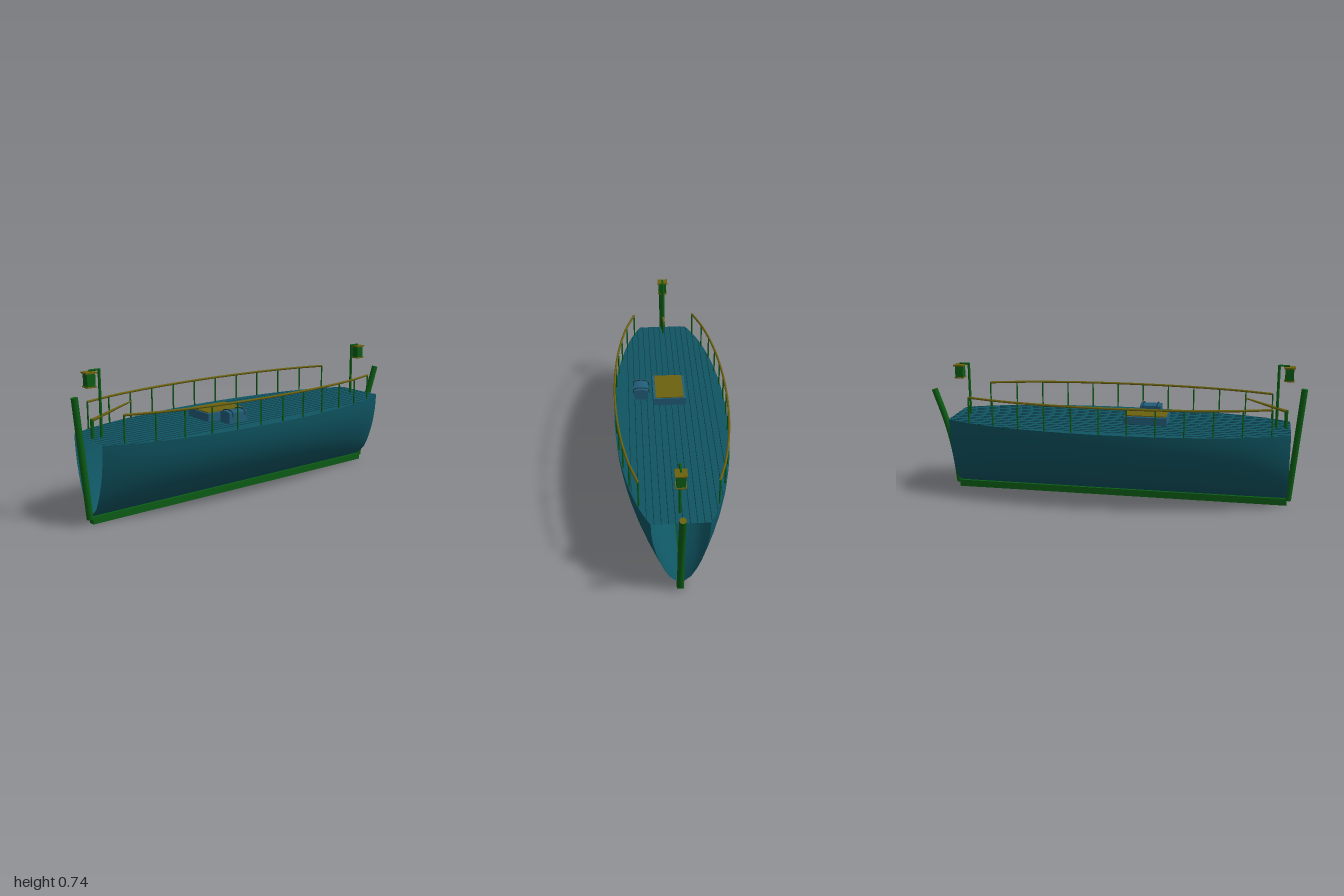
import * as THREE from 'three';

const X0 = -0.925, X1 = 0.85, DECK = 0.413, BASE = 0.035;
const CX = (X0 + X1) / 2, HALF = (X1 - X0) / 2;

const mat = (color) => new THREE.MeshStandardMaterial({ color, side: THREE.DoubleSide });
const teal = mat(0x0f5562), seam = mat(0x0a3540), blue = mat(0x215c78);
const green = mat(0x0b5c14), olive = mat(0x6b6210), iron = mat(0x1d3d48);

// Half width of the deck at x: an ellipse cut off at both ends
const halfWidth = (x) => 0.295 * Math.sqrt(1 - 0.79 * ((x - CX) / HALF) ** 2);

function add(parent, name, geometry, material, x = 0, y = 0, z = 0) {
  const m = new THREE.Mesh(geometry, material);
  m.name = name;
  m.position.set(x, y, z);
  parent.add(m);
  return m;
}
const box = (w, h, d) => new THREE.BoxGeometry(w, h, d);
const vec = (p) => new THREE.Vector3(...p);

// Round bar between two points
function bar(parent, name, a, b, r0, r1, material, sides = 8) {
  const A = vec(a), B = vec(b), d = B.clone().sub(A);
  const m = add(parent, name, new THREE.CylinderGeometry(r1, r0, d.length(), sides), material);
  m.position.copy(A).addScaledVector(d, 0.5);
  m.quaternion.setFromUnitVectors(new THREE.Vector3(0, 1, 0), d.normalize());
  return m;
}

// Grid surface from a rule
function surface(nu, nv, rule) {
  const pos = [], idx = [];
  for (let i = 0; i <= nu; i++) for (let j = 0; j <= nv; j++) pos.push(...rule(i / nu, j / nv));
  for (let i = 0; i < nu; i++) for (let j = 0; j < nv; j++) {
    const a = i * (nv + 1) + j, b = a + nv + 1;
    idx.push(a, b, a + 1, b, b + 1, a + 1);
  }
  const g = new THREE.BufferGeometry();
  g.setAttribute('position', new THREE.Float32BufferAttribute(pos, 3));
  g.setIndex(idx);
  g.computeVertexNormals();
  return g;
}

function lantern(parent, postX, lampX, top) {
  const g = new THREE.Group();
  g.name = 'lantern';
  parent.add(g);
  bar(g, 'lanternPost', [postX, DECK, 0], [postX, top, 0], 0.007, 0.007, green);
  bar(g, 'lanternArm', [postX, top - 0.003, 0], [lampX, top - 0.003, 0], 0.005, 0.005, green);
  add(g, 'lanternRoof', box(0.056, 0.007, 0.056), olive, lampX, top - 0.012);
  add(g, 'lanternBody', box(0.042, 0.06, 0.042), green, lampX, top - 0.045);
  add(g, 'lanternBase', box(0.05, 0.006, 0.05), olive, lampX, top - 0.078);
}

export function createModel() {
  const ship = new THREE.Group();
  ship.name = 'ship';

  // Hull sides, open at both ends
  for (const s of [1, -1]) {
    add(ship, s > 0 ? 'hullFrontSide' : 'hullBackSide', surface(40, 8, (u, v) => {
      const x = X0 + (X1 - X0) * (s > 0 ? u : 1 - u);
      const z = s * halfWidth(x) * Math.sin(v * Math.PI / 2) ** 0.6;
      return [x, BASE + v * (DECK - BASE), z];
    }), teal);
  }

  // Deck with plank seams
  add(ship, 'deck', surface(40, 1, (u, v) => {
    const x = X0 + (X1 - X0) * u;
    return [x, DECK, halfWidth(x) * (1 - 2 * v)];
  }), teal);
  for (let k = -7; k <= 7; k++) {
    const z = -0.01 + k * 0.0325;
    const f = Math.min(1, Math.sqrt((1 - (z / 0.29) ** 2) / 0.79));
    add(ship, 'plankSeam', box(2 * HALF * f, 0.002, 0.003), seam, CX, DECK + 0.0005, z);
  }

  // Keel, curved stem and raked sternpost
  add(ship, 'keel', box(X1 - X0, 0.036, 0.033), green, CX, 0.018);
  const stem = new THREE.CatmullRomCurve3(
    [[0.855, 0.025, 0], [0.872, 0.17, 0], [0.908, 0.34, 0], [0.975, 0.543, 0]].map(vec));
  add(ship, 'stem', new THREE.TubeGeometry(stem, 20, 0.0165, 10), green);
  const tip = add(ship, 'stemTip', new THREE.CircleGeometry(0.0165, 10), olive);
  tip.position.copy(stem.getPoint(1));
  tip.quaternion.setFromUnitVectors(new THREE.Vector3(0, 0, 1), stem.getTangent(1));
  bar(ship, 'sternpost', [-0.932, 0.025, 0], [-0.984, 0.618, 0], 0.0165, 0.0165, green, 10);

  // Railings following the deck edge
  const railX = (t) => -0.83 + 1.55 * t;
  for (const s of [1, -1]) {
    const railing = new THREE.Group();
    railing.name = s > 0 ? 'frontRailing' : 'backRailing';
    ship.add(railing);
    const at = (t, y) => [railX(t), y, s * (halfWidth(railX(t)) - 0.007)];
    const pts = [];
    for (let i = 0; i <= 11; i++) {
      const t = i / 11;
      pts.push(vec(at(t, 0.548)));
      bar(railing, 'railPost', at(t, DECK), at(t, 0.548), 0.004, 0.004, green, 6);
    }
    add(railing, 'handrail',
      new THREE.TubeGeometry(new THREE.CatmullRomCurve3(pts), 44, 0.006, 6), olive);
  }

  // Lanterns at both ends
  lantern(ship, -0.853, -0.905, 0.738);
  lantern(ship, 0.775, 0.825, 0.692);

  // Tiller on its post
  bar(ship, 'tillerPost', [-0.9, DECK, 0], [-0.9, 0.507, 0], 0.009, 0.009, green);
  bar(ship, 'tiller', [-0.903, 0.5, 0], [-0.69, 0.562, 0], 0.009, 0.004, olive);

  // Cargo hatch
  add(ship, 'hatchCoaming', box(0.224, 0.04, 0.172), blue, -0.188, 0.437);
  add(ship, 'hatchLid', box(0.214, 0.005, 0.148), olive, -0.188, 0.461);

  // Chest with a shallow rounded lid and two straps
  const chest = new THREE.Group();
  chest.name = 'chest';
  ship.add(chest);
  const profile = new THREE.Shape();
  profile.moveTo(-0.037, 0);
  profile.lineTo(0.037, 0);
  profile.lineTo(0.037, 0.054);
  profile.quadraticCurveTo(0, 0.068, -0.037, 0.054);
  const body = add(chest, 'chestBody',
    new THREE.ExtrudeGeometry(profile, { depth: 0.11, bevelEnabled: false }), blue, -0.245, 0.416, 0.15);
  body.rotation.y = Math.PI / 2;
  for (const x of [-0.226, -0.15]) {
    const strap = new THREE.CatmullRomCurve3(
      [[x, 0.45, 0.19], [x, 0.473, 0.187], [x, 0.481, 0.15], [x, 0.473, 0.113], [x, 0.45, 0.106]].map(vec));
    add(chest, 'strap', new THREE.TubeGeometry(strap, 16, 0.003, 6), iron);
  }
  return ship;
}
